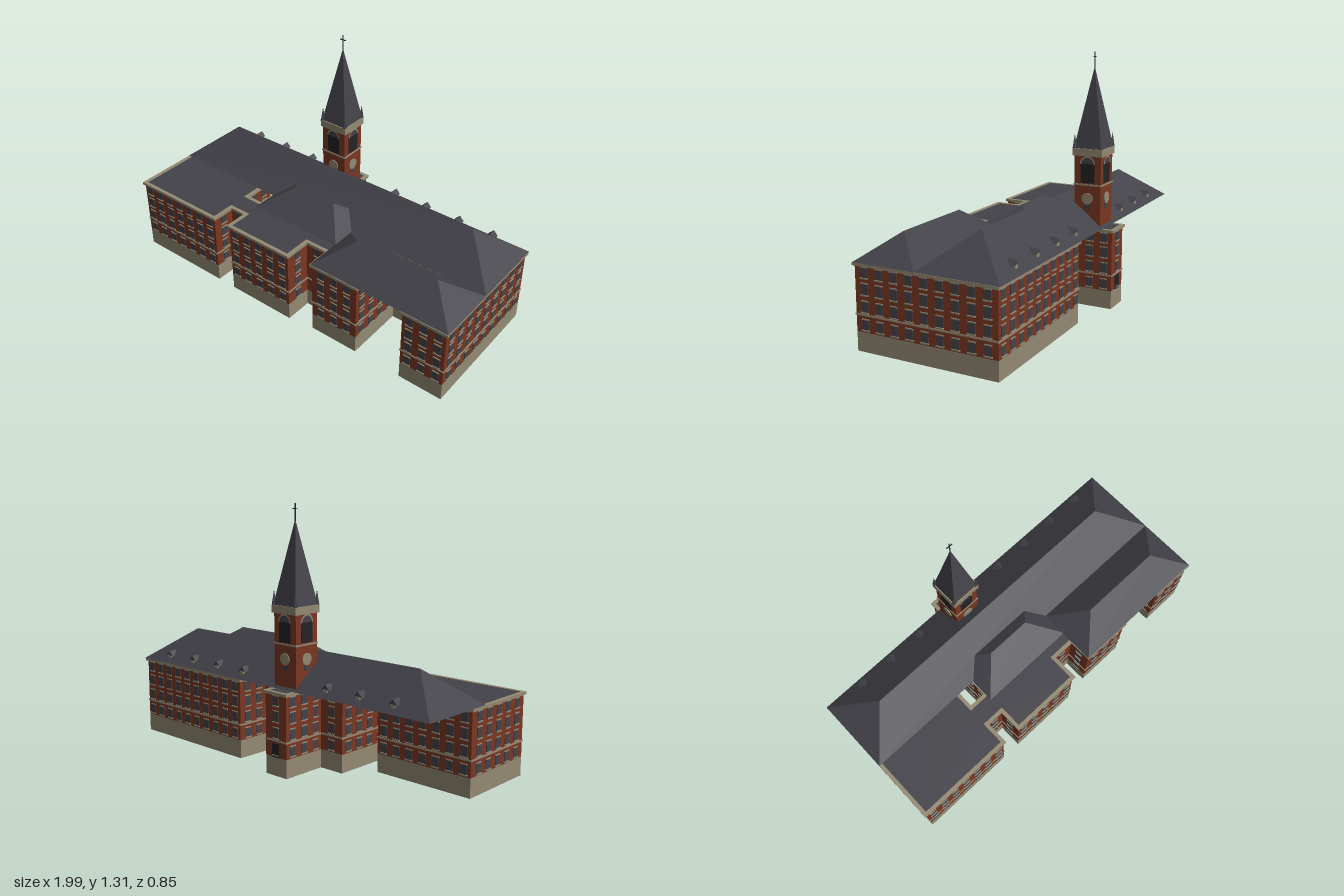
import * as THREE from 'three';
import { mergeGeometries } from 'three/addons/utils/BufferGeometryUtils.js';

const material = (name, color, side = THREE.FrontSide) => {
  const m = new THREE.MeshStandardMaterial({ color, side });
  m.name = name;
  return m;
};
const brick = material('brick', 0x7a3723, THREE.DoubleSide);
const stone = material('stone', 0x938a73, THREE.DoubleSide);
const slate = material('slate', 0x434249, THREE.DoubleSide);
const glass = material('glass', 0x42434b);
const dark = material('dark opening', 0x232324);

// Outer wall line as [x, z], walked so that outside lies on the right hand
const outline = [
  [-0.99, 0.41], [-0.45, 0.41], [-0.45, 0.28], [-0.34, 0.28], [-0.34, 0.41], [0.06, 0.41],
  [0.06, 0.26], [0.2, 0.26], [0.2, 0.39], [0.475, 0.39], [0.475, 0.06], [0.74, 0.06],
  [0.74, 0.39], [0.98, 0.39], [0.98, -0.35], [0.2, -0.35], [0.2, -0.17], [-0.06, -0.17],
  [-0.06, -0.415], [-0.2, -0.415], [-0.2, -0.17], [-0.34, -0.17], [-0.34, 0.16],
  [-0.45, 0.16], [-0.45, -0.03], [-0.99, -0.03],
];
const floors = [[0.108, 0.155], [0.192, 0.242], [0.274, 0.325], [0.354, 0.4]];

function box(w, h, d, x, y, z) {
  return new THREE.BoxGeometry(w, h, d).translate(x, y, z);
}

// Closed hip roof with a flat soffit; the ridge runs along x
function hipRoof(x0, x1, z0, z1, r0, r1, rz, y0, y1) {
  const A = [x0, y0, z1], B = [x1, y0, z1], C = [x1, y0, z0], D = [x0, y0, z0];
  const L = [r0, y1, rz], R = [r1, y1, rz];
  const tris = [A, B, R, A, R, L, B, C, R, C, D, L, C, L, R, D, A, L, A, D, C, A, C, B];
  const g = new THREE.BufferGeometry();
  g.setAttribute('position', new THREE.Float32BufferAttribute(tris.flat(), 3));
  g.computeVertexNormals();
  return g;
}

export function createModel() {
  const model = new THREE.Group();
  model.name = 'building';
  const add = (parent, name, geometry, mat) => {
    const mesh = new THREE.Mesh(geometry, mat);
    mesh.name = name;
    parent.add(mesh);
    return mesh;
  };

  // Walls, base, string course, cornice and windows for every stretch of wall
  const walls = new THREE.Group();
  walls.name = 'walls';
  model.add(walls);
  const parts = { brickWalls: [], stoneBase: [], stoneTrim: [], windows: [] };
  outline.forEach(([ax, az], i) => {
    const [bx, bz] = outline[(i + 1) % outline.length];
    const len = Math.hypot(bx - ax, bz - az);
    const place = new THREE.Matrix4().makeRotationY(Math.atan2(az - bz, bx - ax))
      .setPosition((ax + bx) / 2, 0, (az + bz) / 2);
    const put = (bin, g) => parts[bin].push(g.applyMatrix4(place));
    put('brickWalls', new THREE.PlaneGeometry(len, 0.32).translate(0, 0.255, 0));
    put('stoneBase', new THREE.PlaneGeometry(len, 0.096).translate(0, 0.048, 0));
    put('stoneTrim', box(len + 0.008, 0.008, 0.008, 0, 0.178, 0));
    put('stoneTrim', box(len + 0.02, 0.014, 0.02, 0, 0.414, 0));
    const n = Math.floor(len / 0.076);
    const step = len / Math.max(n, 1);
    for (let k = 0; k < n; k++) {
      const x = (k - (n - 1) / 2) * Math.min(step, 0.08);
      for (const [lo, hi] of floors) {
        put('windows', box(0.036, hi - lo, 0.004, x, (lo + hi) / 2, 0.001));
        put('stoneTrim', box(0.042, 0.006, 0.01, x, lo - 0.003, 0.002));
        put('stoneTrim', box(0.04, 0.005, 0.007, x, hi + 0.002, 0.001));
      }
    }
  });
  const look = { brickWalls: brick, stoneBase: stone, stoneTrim: stone, windows: glass };
  for (const name in parts) add(walls, name, mergeGeometries(parts[name]), look[name]);

  // Flat roof over the whole plan
  const plan = new THREE.Shape(outline.map(([x, z]) => new THREE.Vector2(x, -z)));
  add(model, 'flatRoof', new THREE.ShapeGeometry(plan).rotateX(-Math.PI / 2).translate(0, 0.418, 0), slate);

  // Pitched roofs
  add(model, 'mainRoof', hipRoof(-1, 0.99, -0.365, 0.062, -0.785, 0.775, -0.15, 0.422, 0.592), slate);
  add(model, 'rightWingRoof', hipRoof(0.193, 0.99, 0.062, 0.396, 0.36, 0.82, 0.232, 0.421, 0.546), slate);
  add(model, 'middleRoof', hipRoof(-0.345, 0.2, -0.12, 0.2, -0.19, 0.06, 0.04, 0.42, 0.533), slate);

  // Small gabled dormers on the back slope
  const gable = new THREE.Shape([[-0.024, 0], [0.024, 0], [0, 0.026]].map(p => new THREE.Vector2(...p)));
  const dormers = new THREE.Group();
  dormers.name = 'dormers';
  model.add(dormers);
  for (const x of [0.8, 0.6, 0.4, 0.2, -0.38, -0.58, -0.78]) {
    const roof = new THREE.ExtrudeGeometry(gable, { depth: 0.045, bevelEnabled: false });
    add(dormers, 'dormerRoof', roof.translate(x, 0.458, -0.336), slate);
    add(dormers, 'dormerFront', box(0.024, 0.02, 0.03, x, 0.451, -0.322), stone);
  }

  // Bell tower
  const tower = new THREE.Group();
  tower.name = 'tower';
  tower.position.set(-0.13, 0, -0.277);
  model.add(tower);
  const half = 0.073;
  add(tower, 'shaft', box(half * 2, 0.4, half * 2, 0, 0.6, 0), brick);
  add(tower, 'stringCourse', box(0.154, 0.008, 0.154, 0, 0.643, 0), stone);
  add(tower, 'belfryCornice', box(0.164, 0.038, 0.164, 0, 0.811, 0), stone);
  add(tower, 'spire', new THREE.ConeGeometry(0.076 * Math.SQRT2, 0.41, 4, 1).toNonIndexed()
    .rotateY(Math.PI / 4).translate(0, 1.035, 0), slate).geometry.computeVertexNormals();
  for (const x of [-1, 1]) for (const z of [-1, 1]) {
    const pinnacle = new THREE.ConeGeometry(0.012, 0.075, 4).rotateY(Math.PI / 4);
    add(tower, 'pinnacle', pinnacle.translate(x * 0.073, 0.866, z * 0.073), slate);
  }

  // The same belfry opening, clock and slit on each side of the tower
  for (let i = 0; i < 4; i++) {
    const side = new THREE.Group();
    side.name = 'towerFace';
    side.rotation.y = i * Math.PI / 2;
    tower.add(side);
    add(side, 'belfryOpening', box(0.076, 0.103, 0.004, 0, 0.704, half), dark);
    add(side, 'archPanel', new THREE.CircleGeometry(0.036, 20, 0, Math.PI).translate(0, 0.752, half + 0.003), slate);
    add(side, 'archSurround', new THREE.RingGeometry(0.034, 0.042, 20, 1, 0, Math.PI)
      .translate(0, 0.75, half + 0.004), stone);
    add(side, 'clockFace', new THREE.CylinderGeometry(0.03, 0.03, 0.006, 24).rotateX(Math.PI / 2)
      .translate(0, 0.572, half + 0.002), stone);
    add(side, 'slitWindow', box(0.034, 0.024, 0.004, 0, 0.528, half), glass);
  }

  // Cross on the spire
  add(tower, 'crossPole', box(0.004, 0.085, 0.004, 0, 1.272, 0), dark);
  add(tower, 'crossArm', box(0.034, 0.004, 0.004, 0, 1.288, 0), dark);

  // Door at the back of the tower base
  add(model, 'towerDoor', box(0.05, 0.07, 0.008, -0.13, 0.13, -0.416), dark);
  return model;
}
